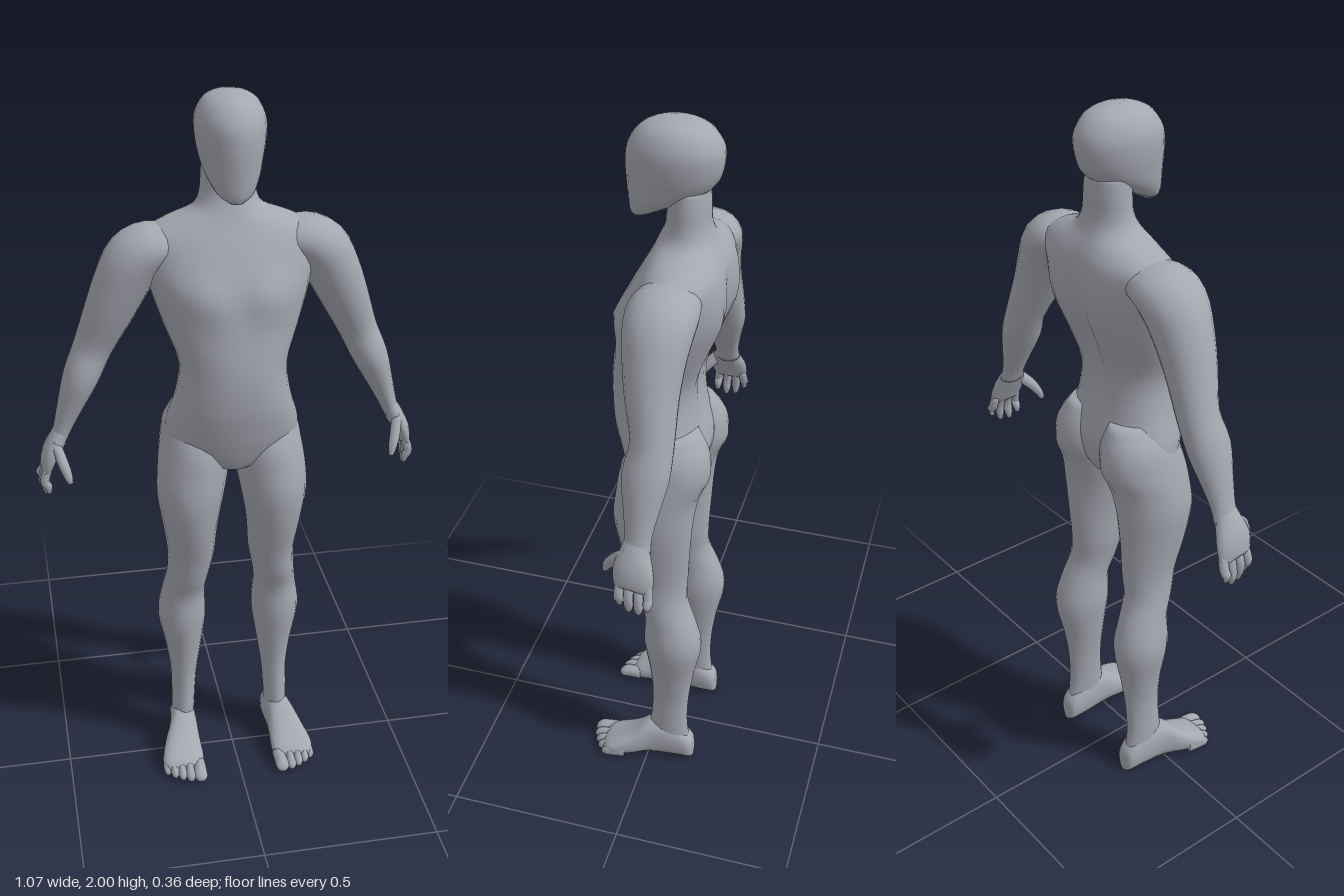
import * as THREE from 'three';

const skin = new THREE.MeshStandardMaterial({ color: 0xa6a8b1 });
skin.name = 'greySkin';

const UP = [0, 1, 0], BACK = [0, 0, -1], FRONT = [0, 0, 1];

// Smooth closed skin over rings [x, y, z, radius across, radius along ref, roundness].
// axis fixes the ring direction; without it the rings follow the path.
function loft(name, rings, { ref, axis, sides = 20, steps = 3, tweak }) {
  const centres = new THREE.CatmullRomCurve3(rings.map(r => new THREE.Vector3(r[0], r[1], r[2])), false, 'catmullrom', 0.5);
  const radii = new THREE.CatmullRomCurve3(rings.map(r => new THREE.Vector3(r[3], r[4], r[5] ?? 2)), false, 'catmullrom', 0.5);
  const count = (rings.length - 1) * steps;
  const pos = [], idx = [];
  for (let i = 0; i <= count; i++) {
    const t = i / count, c = centres.getPoint(t), r = radii.getPoint(t);
    const d = axis ? new THREE.Vector3(...axis) : centres.getTangent(t);
    const v = new THREE.Vector3(...ref);
    v.addScaledVector(d, -v.dot(d)).normalize();
    const u = v.clone().cross(d);
    for (let j = 0; j < sides; j++) {
      const a = j / sides * Math.PI * 2, ca = Math.cos(a), sa = Math.sin(a);
      const p = c.clone()
        .addScaledVector(u, r.x * Math.sign(ca) * Math.abs(ca) ** (2 / r.z))
        .addScaledVector(v, r.y * Math.sign(sa) * Math.abs(sa) ** (2 / r.z));
      if (tweak) tweak(p);
      pos.push(p.x, p.y, p.z);
    }
  }
  for (let i = 0; i < count; i++) {
    for (let j = 0; j < sides; j++) {
      const k = (j + 1) % sides, a = i * sides + j, b = i * sides + k;
      idx.push(a, b, a + sides, b, b + sides, a + sides);
    }
  }
  // end caps
  const first = centres.getPoint(0), last = centres.getPoint(1), n = pos.length / 3;
  pos.push(first.x, first.y, first.z, last.x, last.y, last.z);
  for (let j = 0; j < sides; j++) {
    const k = (j + 1) % sides, top = count * sides;
    idx.push(n, k, j, n + 1, top + j, top + k);
  }
  const geo = new THREE.BufferGeometry();
  geo.setAttribute('position', new THREE.Float32BufferAttribute(pos, 3));
  geo.setIndex(idx);
  geo.computeVertexNormals();
  const mesh = new THREE.Mesh(geo, skin);
  mesh.name = name;
  return mesh;
}

// Level ring from its inner x, outer x, front z and back z
const level = (y, xi, xo, zf, zb, e) => [(xi + xo) / 2, y, (zf + zb) / 2, (xo - xi) / 2, (zf - zb) / 2, e];
const centred = ([y, w, zf, zb, e]) => level(y, -w, w, zf, zb, e);
const bump = (p, x, y, sx, sy) => Math.exp(-(((Math.abs(p.x) - x) / sx) ** 2) - ((p.y - y) / sy) ** 2);

// Chest muscles, shoulder blades and the groove of the spine
function muscles(p) {
  if (p.z > 0) {
    p.z += 0.014 * bump(p, 0.09, 1.5, 0.06, 0.05);
    p.z -= 0.01 * bump(p, 0, 1.5, 0.03, 0.1);
  } else if (p.z < -0.06) {
    p.z -= 0.012 * bump(p, 0.09, 1.52, 0.05, 0.1);
    p.z += 0.022 * bump(p, 0, 1.4, 0.035, 0.22);
  }
}

function arm(s) {
  const g = new THREE.Group();
  g.name = s > 0 ? 'leftArm' : 'rightArm';
  const add = (name, rings, opts) =>
    g.add(loft(name, rings.map(([x, ...rest]) => [x * s, ...rest]), opts));
  add('upperArmAndForearm', [
    [0.13, 1.605, -0.065, 0.04, 0.07],
    [0.195, 1.605, -0.06, 0.062, 0.088],
    [0.245, 1.575, -0.057, 0.075, 0.088],
    [0.282, 1.51, -0.057, 0.073, 0.078],
    [0.318, 1.43, -0.062, 0.065, 0.067],
    [0.362, 1.33, -0.075, 0.053, 0.055],
    [0.398, 1.25, -0.068, 0.049, 0.06],
    [0.43, 1.17, -0.066, 0.036, 0.045],
    [0.453, 1.11, -0.065, 0.026, 0.035],
    [0.468, 1.07, -0.065, 0.022, 0.036],
  ], { ref: FRONT });
  add('palm', [
    [0.455, 1.105, -0.065, 0.02, 0.03],
    [0.472, 1.07, -0.062, 0.025, 0.04],
    [0.493, 1.03, -0.062, 0.024, 0.052],
    [0.506, 0.99, -0.068, 0.017, 0.05],
    [0.509, 0.98, -0.068, 0.008, 0.04],
  ], { ref: FRONT, sides: 14 });
  // four fingers from front to back
  [[-0.029, 0.922, 0.503], [-0.055, 0.908, 0.508], [-0.082, 0.91, 0.514], [-0.107, 0.93, 0.52]].forEach(([z, tip, x], i) =>
    add('finger' + (i + 1), [
      [0.501, 1.0, z * 0.9 - 0.006, 0.012, 0.013],
      [0.514, 0.96, z, 0.013, 0.013],
      [x + 0.003, tip + 0.02, z, 0.012, 0.012],
      [x, tip, z, 0.006, 0.006],
    ], { ref: FRONT, sides: 8 }));
  add('thumb', [
    [0.478, 1.065, -0.04, 0.014, 0.018],
    [0.465, 1.03, -0.005, 0.015, 0.017],
    [0.454, 1.0, 0.016, 0.013, 0.013],
    [0.447, 0.975, 0.026, 0.007, 0.007],
  ], { ref: FRONT, sides: 8 });
  return g;
}

function leg(s) {
  const g = new THREE.Group();
  g.name = s > 0 ? 'leftLeg' : 'rightLeg';
  const add = (name, rings, opts) =>
    g.add(loft(name, rings.map(([x, ...rest]) => [x * s, ...rest]), opts));
  add('thighAndCalf', [
    level(0.06, 0.113, 0.178, 0.01, -0.125),
    level(0.15, 0.108, 0.177, -0.003, -0.115),
    level(0.25, 0.1, 0.177, -0.008, -0.118),
    level(0.35, 0.085, 0.19, 0, -0.132),
    level(0.46, 0.07, 0.21, 0.015, -0.152),
    level(0.55, 0.073, 0.198, 0.015, -0.13),
    level(0.62, 0.065, 0.187, 0.04, -0.105),
    level(0.7, 0.05, 0.183, 0.06, -0.105),
    level(0.8, 0.042, 0.196, 0.09, -0.11),
    level(0.9, 0.025, 0.21, 0.106, -0.117),
    level(0.98, 0.01, 0.207, 0.1, -0.13),
    level(1.05, 0.003, 0.197, 0.09, -0.157),
    level(1.12, 0.01, 0.182, 0.06, -0.15),
    level(1.18, 0.03, 0.14, 0.03, -0.12),
  ], { ref: BACK, axis: UP });
  // foot rings run from heel to ball: z, centre x, half width, top y
  add('foot', [
    [-0.136, 0.143, 0.015, 0.06],
    [-0.125, 0.143, 0.031, 0.085],
    [-0.08, 0.144, 0.038, 0.125],
    [-0.01, 0.15, 0.042, 0.135],
    [0.04, 0.16, 0.053, 0.098],
    [0.09, 0.166, 0.062, 0.068],
    [0.12, 0.166, 0.058, 0.052],
    [0.135, 0.162, 0.045, 0.04],
  ].map(([z, x, w, top]) => [x, (top + 0.004) / 2, z, w, (top - 0.004) / 2, 2.5]), { ref: UP, axis: FRONT });
  // toes from big to little
  [[0.124, 0.18, 0.02], [0.153, 0.175, 0.014], [0.176, 0.165, 0.013], [0.197, 0.152, 0.013], [0.217, 0.135, 0.012]].forEach(([x, tip, r], i) =>
    add('toe' + (i + 1), [
      [x - 0.003, 0.028, tip - 0.07, r * 0.9, 0.02],
      [x, 0.025, tip - 0.03, r, 0.019],
      [x, 0.021, tip - 0.01, r * 0.95, 0.015],
      [x, 0.018, tip, r * 0.5, 0.007],
    ], { ref: UP, axis: FRONT, sides: 8 }));
  return g;
}

export function createModel() {
  const model = new THREE.Group();
  model.name = 'humanFigure';
  // trunk from crotch to neck: y, half width, front z, back z, roundness
  model.add(loft('torsoAndNeck', [
    [0.985, 0.03, 0.045, -0.07],
    [1.005, 0.09, 0.075, -0.11],
    [1.06, 0.172, 0.095, -0.13],
    [1.12, 0.182, 0.112, -0.135],
    [1.2, 0.157, 0.127, -0.115, 2.2],
    [1.3, 0.144, 0.13, -0.11, 2.2],
    [1.4, 0.178, 0.118, -0.138, 2.1],
    [1.5, 0.21, 0.106, -0.17],
    [1.58, 0.228, 0.072, -0.175],
    [1.635, 0.228, 0.042, -0.168],
    [1.67, 0.17, 0.022, -0.152],
    [1.7, 0.095, 0.008, -0.135],
    [1.74, 0.074, -0.008, -0.122],
    [1.79, 0.07, -0.01, -0.12],
    [1.84, 0.065, -0.01, -0.115],
  ].map(centred), { ref: BACK, axis: UP, sides: 32, tweak: muscles }));
  // head from chin to crown
  model.add(loft('head', [
    [1.743, 0.018, 0.078, 0.045],
    [1.762, 0.045, 0.084, 0.01],
    [1.8, 0.068, 0.088, -0.07],
    [1.835, 0.079, 0.091, -0.125],
    [1.88, 0.088, 0.093, -0.147],
    [1.93, 0.09, 0.088, -0.15],
    [1.97, 0.074, 0.062, -0.127],
    [1.99, 0.05, 0.03, -0.095],
    [2.0, 0.018, -0.01, -0.05],
  ].map(centred), { ref: BACK, axis: UP, sides: 24 }));
  for (const s of [1, -1]) model.add(arm(s), leg(s));
  return model;
}
